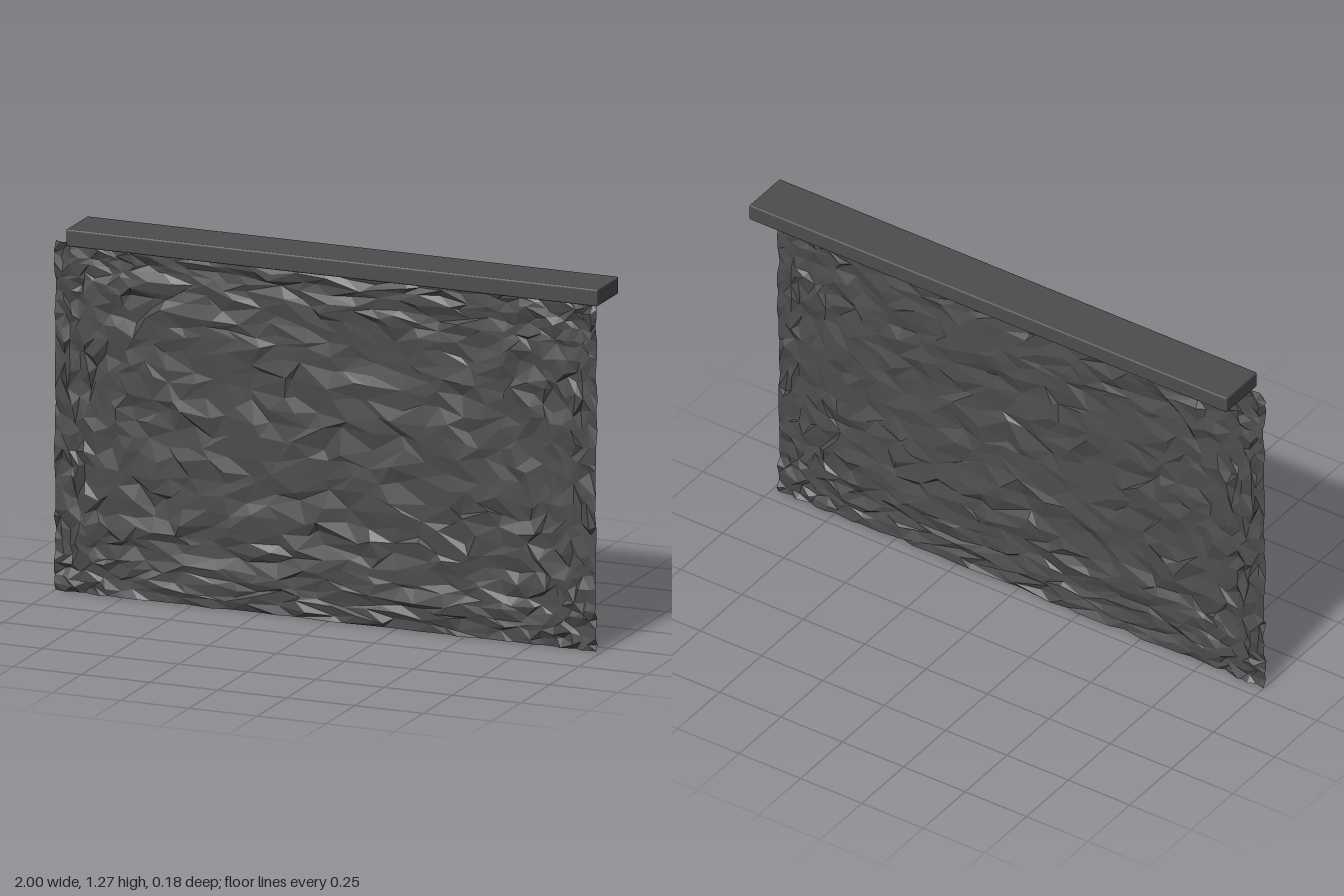
import * as THREE from 'three';
import { RoundedBoxGeometry } from 'three/addons/geometries/RoundedBoxGeometry.js';

// Small seeded generator for repeatable roughness
function seeded(seed) {
  return () => {
    seed = (seed * 1664525 + 1013904223) % 4294967296;
    return seed / 4294967296;
  };
}

// Grid lines from a to b, closer together near both ends
function gridLines(a, b, count, crowding) {
  return Array.from({ length: count + 1 }, (_, i) => {
    const t = i / count;
    const s = t - crowding * Math.sin(2 * Math.PI * t) / (2 * Math.PI);
    return a + (b - a) * s;
  });
}

// Thin crumpled sheet: a jittered grid with randomly turned diagonals
function roughSheet(x0, x1, y0, y1, z, depth) {
  const rand = seeded(7);
  const signed = () => rand() * 2 - 1;
  const xs = gridLines(x0, x1, 34, 0.55);
  const ys = gridLines(y0, y1, 30, 0.4);
  const nx = xs.length, ny = ys.length;
  const positions = [], index = [];
  for (let j = 0; j < ny; j++) {
    for (let i = 0; i < nx; i++) {
      const sideEdge = i === 0 || i === nx - 1;
      const endEdge = j === 0 || j === ny - 1;
      const dx = sideEdge ? 0 : signed() * 0.42 * Math.min(xs[i] - xs[i - 1], xs[i + 1] - xs[i]);
      const dy = endEdge ? 0 : signed() * 0.42 * Math.min(ys[j] - ys[j - 1], ys[j + 1] - ys[j]);
      positions.push(xs[i] + dx, ys[j] + dy, z + depth * signed());
    }
  }
  for (let j = 0; j < ny - 1; j++) {
    for (let i = 0; i < nx - 1; i++) {
      const a = j * nx + i, b = a + 1, c = b + nx, d = a + nx;
      if (rand() < 0.5) index.push(a, b, c, a, c, d);
      else index.push(a, b, d, b, c, d);
    }
  }
  const indexed = new THREE.BufferGeometry();
  indexed.setAttribute('position', new THREE.Float32BufferAttribute(positions, 3));
  indexed.setIndex(index);
  const geometry = indexed.toNonIndexed();
  geometry.computeVertexNormals();
  return geometry;
}

export function createModel() {
  const model = new THREE.Group();
  model.name = 'roughWall';

  const stone = new THREE.MeshStandardMaterial({ color: 0x4d4d4d, side: THREE.DoubleSide, flatShading: true });
  stone.name = 'dark grey stone';

  // Rough wall face, set towards the front
  const wall = new THREE.Mesh(roughSheet(-1, 0.98, 0, 1.22, 0.055, 0.011), stone);
  wall.name = 'wallFace';
  model.add(wall);

  // Coping slab with softened edges, shifted to the left end
  const coping = new THREE.Mesh(new RoundedBoxGeometry(1.945, 0.06, 0.183, 2, 0.006), stone);
  coping.name = 'copingSlab';
  coping.position.set(0.0275, 1.245, 0);
  model.add(coping);

  return model;
}
